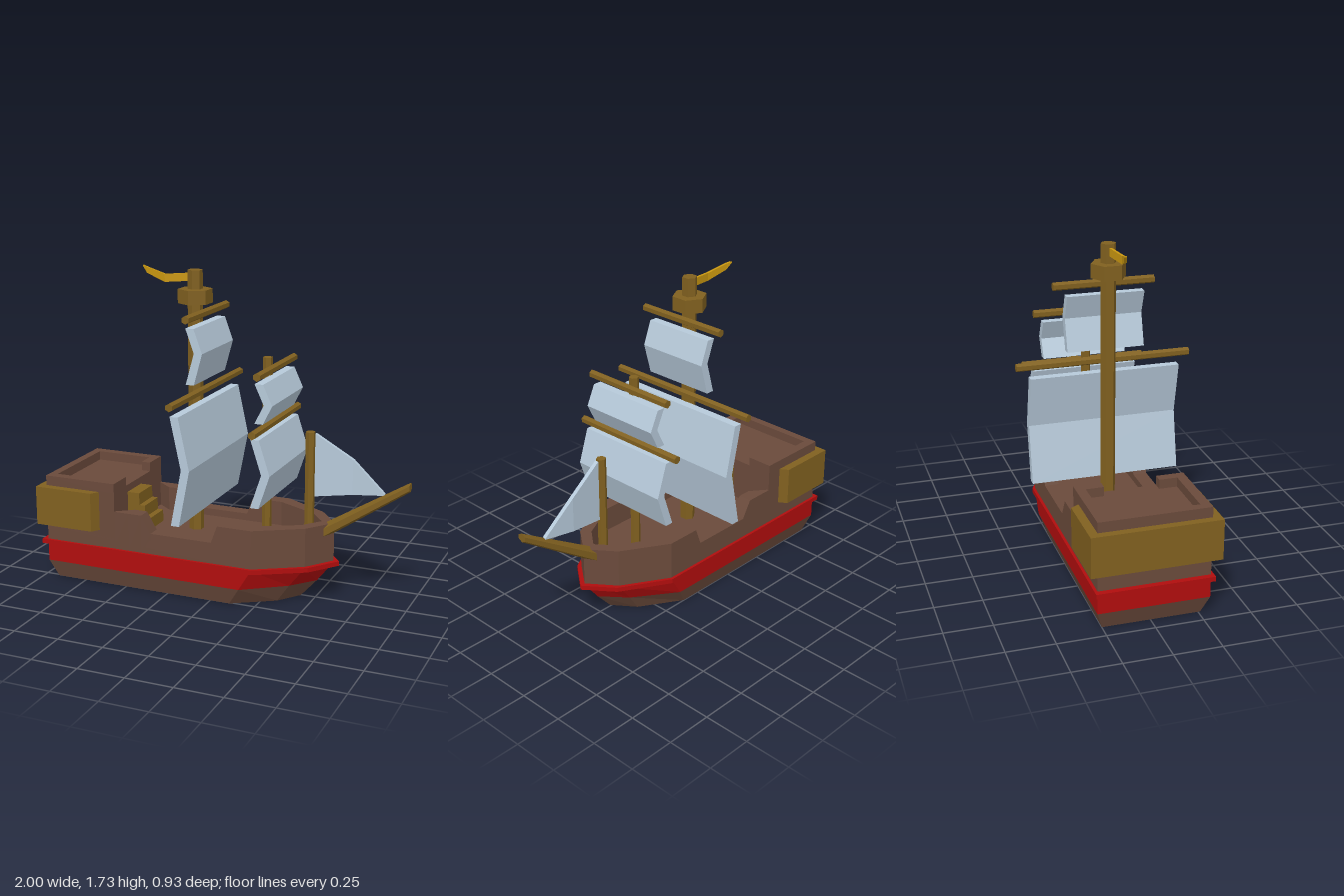
import * as THREE from 'three';

const mat = (name, color) => {
  const m = new THREE.MeshStandardMaterial({ color, flatShading: true });
  m.name = name;
  return m;
};

// Skin over closed rings of equal length, capped at both ends, facing outwards.
function loft(rings) {
  const tris = [], n = rings[0].length;
  for (let i = 0; i + 1 < rings.length; i++) {
    for (let j = 0; j < n; j++) {
      const k = (j + 1) % n, a = rings[i], b = rings[i + 1];
      tris.push([a[j], a[k], b[k]], [a[j], b[k], b[j]]);
    }
  }
  const first = rings[0], last = rings[rings.length - 1];
  for (let j = 1; j + 1 < n; j++) {
    tris.push([first[0], first[j + 1], first[j]], [last[0], last[j], last[j + 1]]);
  }
  let volume = 0;
  for (const t of tris) {
    const [a, b, c] = t.map(p => new THREE.Vector3(...p));
    volume += a.dot(b.cross(c));
  }
  if (volume < 0) tris.forEach(t => t.reverse());
  const g = new THREE.BufferGeometry();
  g.setAttribute('position', new THREE.Float32BufferAttribute(tris.flat(2), 3));
  g.computeVertexNormals();
  return g;
}

// Flat plate with an (x, z) outline between two heights.
function slab(points, y0, y1) {
  const shape = new THREE.Shape(points.map(([x, z]) => new THREE.Vector2(x, -z)));
  const g = new THREE.ExtrudeGeometry(shape, { depth: y1 - y0, bevelEnabled: false });
  return g.rotateX(-Math.PI / 2).translate(0, y0, 0);
}

// Hull outline: square stern, two angled cheeks, pointed bow.
const plan = (stern, w, x1, x2, w2, bow) => [
  [stern, -w], [x1, -w], [x2, -w2], [bow, 0], [x2, w2], [x1, w], [stern, w]];

export function createModel() {
  const group = new THREE.Group();
  const brown = mat('hull brown', 0x6a4a3b);
  const red = mat('hull red', 0xb00d0d);
  const wood = mat('golden wood', 0x80601f);
  const cloth = mat('sail cloth', 0xb6c9d9);
  const gold = mat('flag gold', 0xc8960f);
  const add = (name, geometry, material, x = 0, y = 0, z = 0.006) => {
    const m = new THREE.Mesh(geometry, material);
    m.name = name;
    m.position.set(x, y, z);
    group.add(m);
    return m;
  };

  // Hull, from keel to deck
  const keel = plan(-0.92, 0.255, 0.11, 0.33, 0.12, 0.42);
  const chine = plan(-0.96, 0.29, 0.175, 0.4, 0.132, 0.51);
  const side = plan(-0.96, 0.29, 0.245, 0.49, 0.145, 0.6);
  const at = (pts, y) => pts.map(([x, z]) => [x, y, z]);
  add('keel', loft([at(keel, 0), at(chine, 0.1)]), brown);
  add('redBand', loft([at(chine, 0.1), at(side, 0.215)]), red);
  add('redRail', slab(plan(-0.99, 0.305, 0.25, 0.51, 0.155, 0.63), 0.2, 0.225), red);
  add('deck', slab(side, 0.215, 0.3), brown);

  // Thick bulwark with a dip amidships: outer x, z, inner x, z, top height
  const stations = [
    [-0.545, 0.29, -0.545, 0.28, 0.435], [-0.46, 0.29, -0.46, 0.215, 0.435],
    [-0.385, 0.29, -0.385, 0.215, 0.435], [-0.33, 0.29, -0.33, 0.215, 0.34],
    [0.02, 0.29, 0.02, 0.215, 0.34], [0.055, 0.29, 0.055, 0.215, 0.435],
    [0.245, 0.29, 0.225, 0.215, 0.435], [0.49, 0.145, 0.45, 0.1, 0.435],
    [0.6, 0, 0.53, 0, 0.435]];
  const ring = s => ([ox, oz, ix, iz, h]) =>
    [[ox, 0.24, oz * s], [ox, h, oz * s], [ix, h, iz * s], [ix, 0.24, iz * s]];
  add('bulwark', loft([
    ...stations.map(ring(1)), ...stations.slice(0, -1).reverse().map(ring(-1))]), brown);

  // Raised stern with a low parapet open towards the stairs
  const box = [[-0.96, -0.29], [-0.545, -0.29], [-0.545, 0.29], [-0.96, 0.29]];
  add('sternCastle', slab(box, 0.25, 0.54), brown);
  add('sternParapet', slab([
    [-0.545, -0.145], [-0.545, -0.29], [-0.96, -0.29], [-0.96, 0.29], [-0.545, 0.29],
    [-0.545, 0.145], [-0.595, 0.145], [-0.595, 0.24], [-0.915, 0.24], [-0.915, -0.24],
    [-0.595, -0.24], [-0.595, -0.145]], 0.53, 0.59), brown);
  add('sternGallery', slab([
    [-1, -0.335], [-0.665, -0.335], [-0.63, -0.28], [-0.63, 0.28],
    [-0.665, 0.335], [-1, 0.335]], 0.32, 0.535), wood);
  for (let i = 0; i < 3; i++) {
    const x = -0.475 + i * 0.033;
    add('stair', slab([[-0.55, -0.03], [x, -0.03], [x, 0.13], [-0.55, 0.13]],
      0.29, 0.5 - i * 0.067), wood);
  }

  // Masts and lookout
  const mast = (name, x, r, top) =>
    add(name, new THREE.CylinderGeometry(r, r, top - 0.29, 6), wood, x, (top + 0.29) / 2);
  mast('mainMast', -0.19, 0.04, 1.72);
  mast('foreMast', 0.22, 0.026, 1.29);
  mast('bowMast', 0.46, 0.026, 0.915);
  add('lookout', new THREE.CylinderGeometry(0.092, 0.092, 0.075, 6), wood, -0.19, 1.583);

  // Yards, each with a sail folded forward in the middle
  const rig = (name, x, yardY, yardHalf, top, mid, bottom, half, bulge) => {
    const yard = new THREE.CylinderGeometry(0.022, 0.022, yardHalf * 2, 6).rotateX(Math.PI / 2);
    add(name + 'Yard', yard, wood, x, yardY, 0);
    const a = x - 0.025, t = 0.046;
    const shape = new THREE.Shape([
      [a, bottom], [a + t, bottom], [a + t + bulge, mid], [a + t, top], [a, top],
      [a + bulge, mid]].map(p => new THREE.Vector2(...p)));
    const sail = new THREE.ExtrudeGeometry(shape, { depth: half * 2, bevelEnabled: false });
    add(name + 'Sail', sail.translate(0, 0, -half), cloth);
  };
  rig('mainUpper', -0.13, 1.5, 0.267, 1.447, 1.32, 1.152, 0.205, 0.047);
  rig('mainLower', -0.132, 1.09, 0.465, 1.028, 0.75, 0.445, 0.4, 0.06);
  rig('foreUpper', 0.262, 1.24, 0.272, 1.197, 1.09, 0.99, 0.23, 0.05);
  rig('foreLower', 0.264, 0.955, 0.34, 0.923, 0.74, 0.56, 0.29, 0.06);

  // Thin curved cloth from (x, low, high, z) sections
  const curved = (sections, t) => loft(sections.map(([x, lo, hi, z]) =>
    [[x, lo, z - t], [x, hi, z - t], [x, hi, z + t], [x, lo, z + t]]));
  add('bowSail', curved([
    [0.49, 0.57, 0.91, 0], [0.69, 0.597, 0.785, -0.022], [0.865, 0.618, 0.625, -0.008]],
    0.011), cloth);
  add('flag', curved([
    [-0.215, 1.66, 1.702, 0], [-0.35, 1.65, 1.692, 0.025], [-0.465, 1.688, 1.72, 0],
    [-0.495, 1.722, 1.727, -0.012]], 0.007), gold);

  // Tapered bowsprit
  const hex = (x, y, ry, rz) => Array.from({ length: 6 }, (_, i) => {
    const a = i * Math.PI / 3;
    return [x, y + ry * Math.cos(a), rz * Math.sin(a)];
  });
  add('bowsprit', loft([hex(0.56, 0.395, 0.042, 0.065), hex(1, 0.68, 0.025, 0.028)]), wood);

  return group;
}
